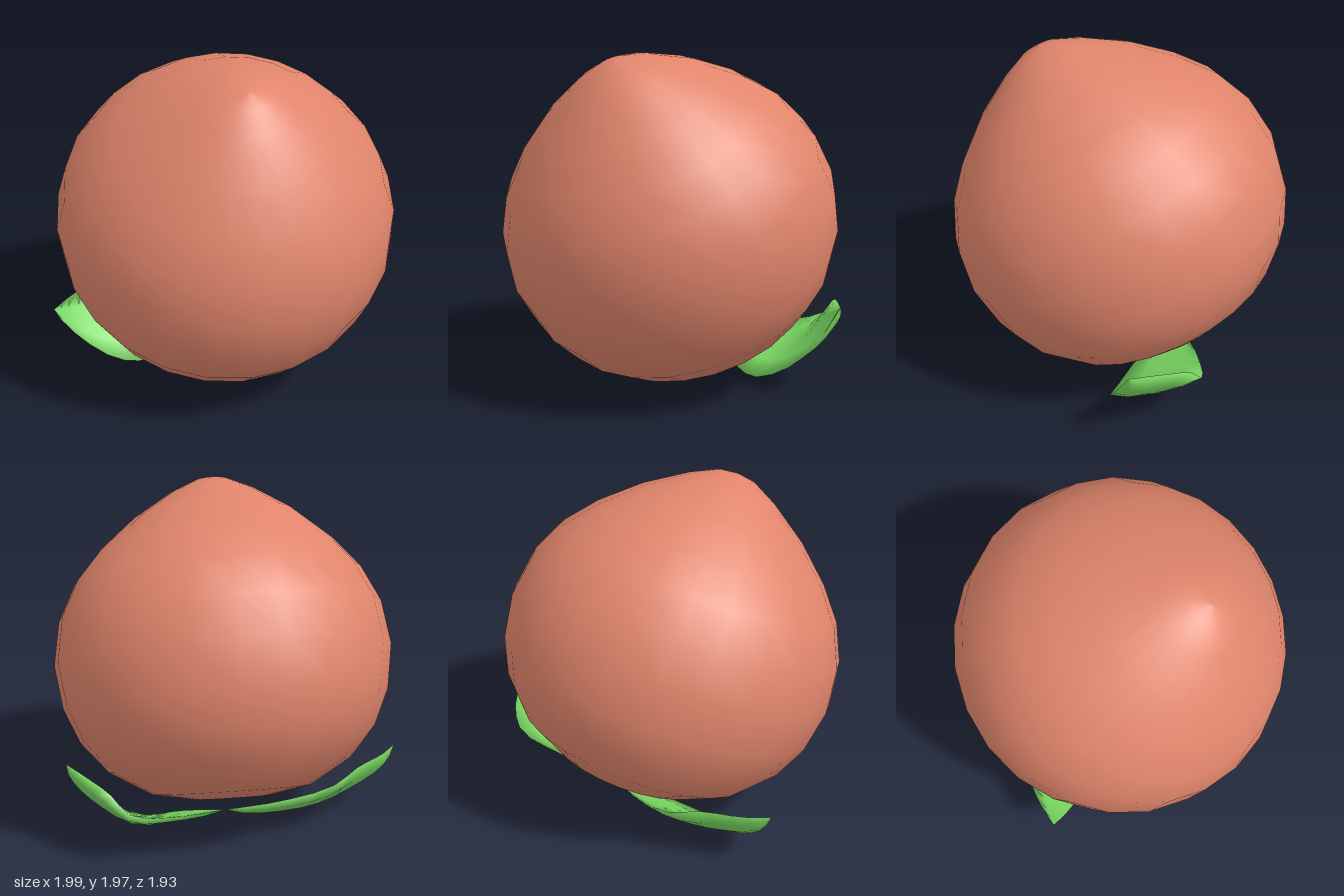
import * as THREE from 'three';

const CENTRE = new THREE.Vector3(-0.02, 1.0, 0);

// Closed, cupped leaf between two edge curves that share a base and a tip.
function makeLeaf(edgeA, edgeB, material, name) {
  const toCurve = (pts) => new THREE.CatmullRomCurve3(pts.map((p) => new THREE.Vector3(...p)));
  const a = toCurve(edgeA), b = toCurve(edgeB);
  const rows = 12, ring = 8;
  const pos = [], index = [];
  for (let i = 0; i <= rows; i++) {
    const t = i / rows;
    const pa = a.getPoint(t), pb = b.getPoint(t);
    for (let k = 0; k < ring; k++) {
      const outer = k <= 4;
      const u = (outer ? k : 8 - k) / 4;
      const p = pa.clone().lerp(pb, u);
      // bulge away from the fruit; the inner skin bulges less
      const bulge = (outer ? 0.06 : 0.005) * 4 * u * (1 - u) * Math.sin(Math.PI * t) ** 0.5;
      p.addScaledVector(p.clone().sub(CENTRE).normalize(), bulge || 0);
      pos.push(p.x, p.y, p.z);
      if (i < rows) {
        const n = (k + 1) % ring;
        const v0 = i * ring + k, v1 = i * ring + n;
        index.push(v0, v1, v0 + ring, v1, v1 + ring, v0 + ring);
      }
    }
  }
  const geo = new THREE.BufferGeometry();
  geo.setAttribute('position', new THREE.Float32BufferAttribute(pos, 3));
  geo.setIndex(index);
  geo.computeVertexNormals();
  const mesh = new THREE.Mesh(geo, material);
  mesh.name = name;
  return mesh;
}

export function createModel() {
  const group = new THREE.Group();
  group.name = 'peach';
  const skin = new THREE.MeshStandardMaterial({ color: 0xe0856b });
  skin.name = 'peach skin';
  const green = new THREE.MeshStandardMaterial({ color: 0x7ad862 });
  green.name = 'leaf green';

  // Fruit: [angle from the tip in degrees, radius], turned round a tilted axis
  const profile = [
    [180, 0.83], [165, 0.87], [150, 0.92], [133, 0.96], [119, 0.98], [106, 0.985], [91, 0.985],
    [76, 0.975], [62, 0.955], [48, 0.935], [31, 0.945], [15, 0.995], [6, 1.04], [0, 1.05],
  ].map(([deg, r]) => {
    const q = THREE.MathUtils.degToRad(deg);
    return new THREE.Vector2(Math.max(0, r * Math.sin(q)), r * Math.cos(q));
  });
  const fruit = new THREE.Mesh(new THREE.LatheGeometry(profile, 24), skin);
  fruit.name = 'fruit';
  fruit.position.copy(CENTRE);
  fruit.quaternion.setFromUnitVectors(
    new THREE.Vector3(0, 1, 0), new THREE.Vector3(-0.1, 0.92, 0.45).normalize());
  group.add(fruit);

  // Two leaves spreading from the stem end
  const stem = [0.12, 0.2, -0.41];
  const leftTip = [0.99, 0.54, -0.18], rightTip = [-0.99, 0.41, -0.37];
  group.add(makeLeaf(
    [stem, [0.32, 0.11, -0.17], [0.5, 0.07, -0.08], [0.75, 0.19, -0.05], [0.9, 0.36, -0.1], leftTip],
    [stem, [0.46, 0.28, -0.53], [0.73, 0.36, -0.57], [0.83, 0.48, -0.5], [0.92, 0.52, -0.33], leftTip],
    green, 'leftLeaf'));
  group.add(makeLeaf(
    [stem, [-0.14, 0.27, -0.55], [-0.45, 0.35, -0.63], [-0.66, 0.41, -0.56], [-0.85, 0.41, -0.47], rightTip],
    [stem, [-0.13, 0.09, -0.27], [-0.42, 0.01, -0.17], [-0.64, 0.04, -0.2], [-0.86, 0.21, -0.3], rightTip],
    green, 'rightLeaf'));
  return group;
}
